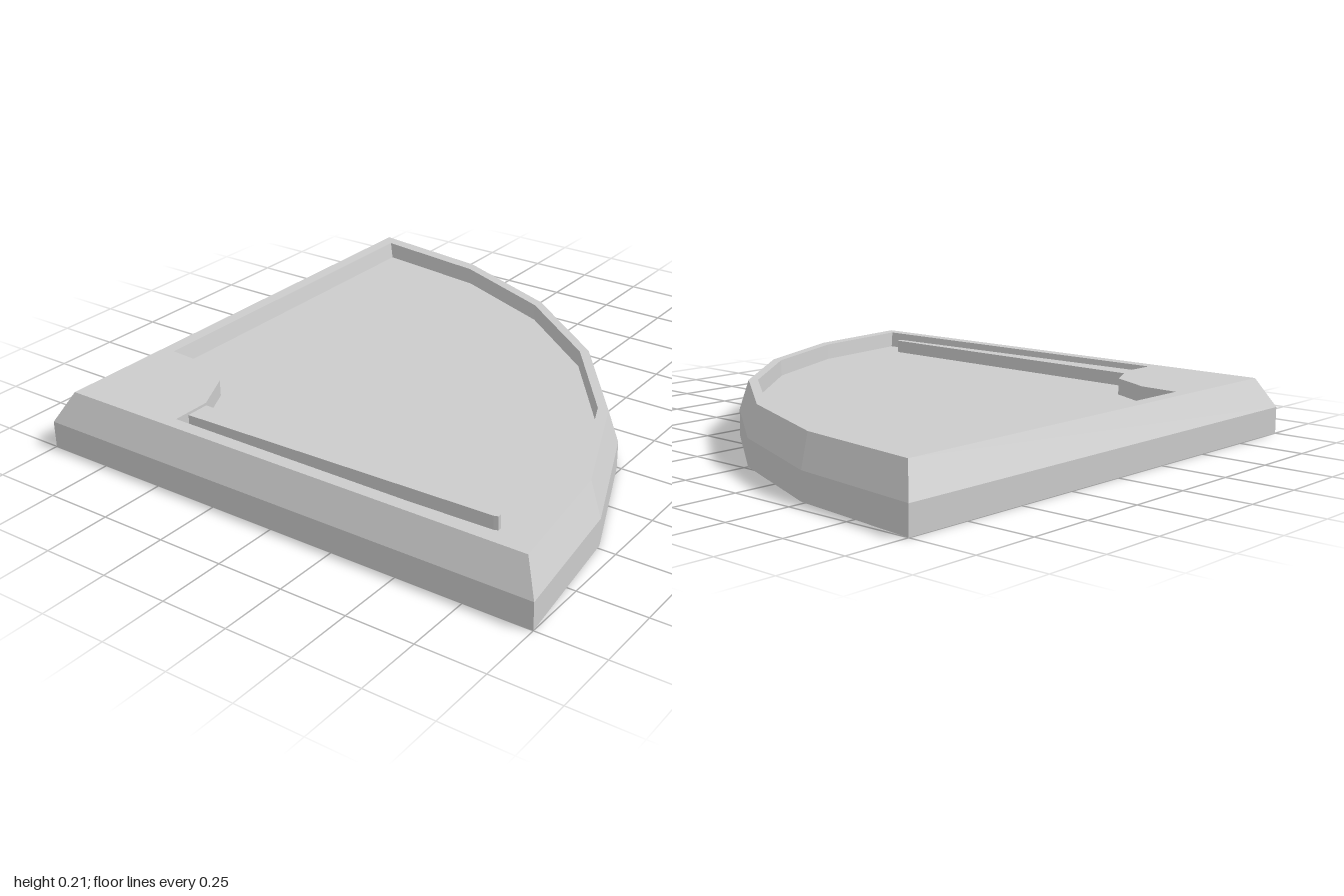
import * as THREE from 'three';

const BASE = 0, SHOULDER = 0.1, TOP = 0.21, FLOOR = 0.15, BAR_TOP = 0.2;
const V = (x, z) => new THREE.Vector2(x, z);

// Arc of the quarter disc, seven points around the corner at -x, +z
function arc(inset, radius) {
  return Array.from({ length: 7 }, (_, i) => {
    const a = (i * Math.PI) / 12;
    return V(-1 + inset + radius * Math.sin(a), 1 - inset - radius * Math.cos(a));
  });
}
const sector = (inset) => [V(-1 + inset, 1 - inset), ...arc(inset, 2 - 2 * inset)];

// Recess outline: arc, then the stepped edge of the raised corner
const recess = (inset, radius) => [
  ...arc(inset, radius),
  V(-0.5, 1 - inset), V(-0.5, 0.74), V(-0.58, 0.58), V(-0.74, 0.5), V(-1 + inset, 0.49),
];

// Strip of quads joining two matching loops
function band(a, ya, b, yb) {
  const pos = [];
  a.forEach((p, i) => {
    const j = (i + 1) % a.length;
    const a0 = [p.x, ya, p.y], a1 = [a[j].x, ya, a[j].y];
    const b0 = [b[i].x, yb, b[i].y], b1 = [b[j].x, yb, b[j].y];
    pos.push(...a0, ...b0, ...b1, ...a0, ...b1, ...a1);
  });
  const g = new THREE.BufferGeometry();
  g.setAttribute('position', new THREE.Float32BufferAttribute(pos, 3));
  g.computeVertexNormals();
  return g;
}

// Flat cap facing up (or down), with an optional hole
function cap(loop, y, hole = null, up = true) {
  const s = up ? -1 : 1;
  const pts = (l) => l.map((p) => V(p.x, s * p.y));
  const shape = new THREE.Shape(pts(loop));
  if (hole) shape.holes.push(new THREE.Path(pts(hole)));
  return new THREE.ShapeGeometry(shape).rotateX((s * Math.PI) / 2).translate(0, y, 0);
}

export function createModel() {
  const group = new THREE.Group();
  const material = new THREE.MeshStandardMaterial({ color: 0xcccccc, flatShading: true });
  const add = (name, geometry) => {
    const mesh = new THREE.Mesh(geometry, material);
    mesh.name = name;
    group.add(mesh);
  };

  const outer = sector(0), rim = sector(0.06);
  const lip = recess(0.11, 1.775), floor = recess(0.125, 1.75);

  // Outer shell
  add('underside', cap(outer, BASE, null, false));
  add('sideWall', band(outer, BASE, outer, SHOULDER));
  add('bevel', band(outer, SHOULDER, rim, TOP));

  // Rim with raised corner, and the sunken floor
  add('rim', cap(rim, TOP, lip));
  add('recessWall', band(lip, TOP, floor, FLOOR).scale(1, 1, 1));
  add('recessFloor', cap(floor, FLOOR));

  // Tapered bar reaching from the raised corner along the front edge
  const bar = [V(-0.5, 0.83), V(-0.5, 0.74), V(0.73, 0.77), V(0.745, 0.78), V(0.745, 0.795), V(0.73, 0.8)];
  add('barSides', band(bar, FLOOR, bar, BAR_TOP));
  add('barTop', cap(bar, BAR_TOP));
  return group;
}
